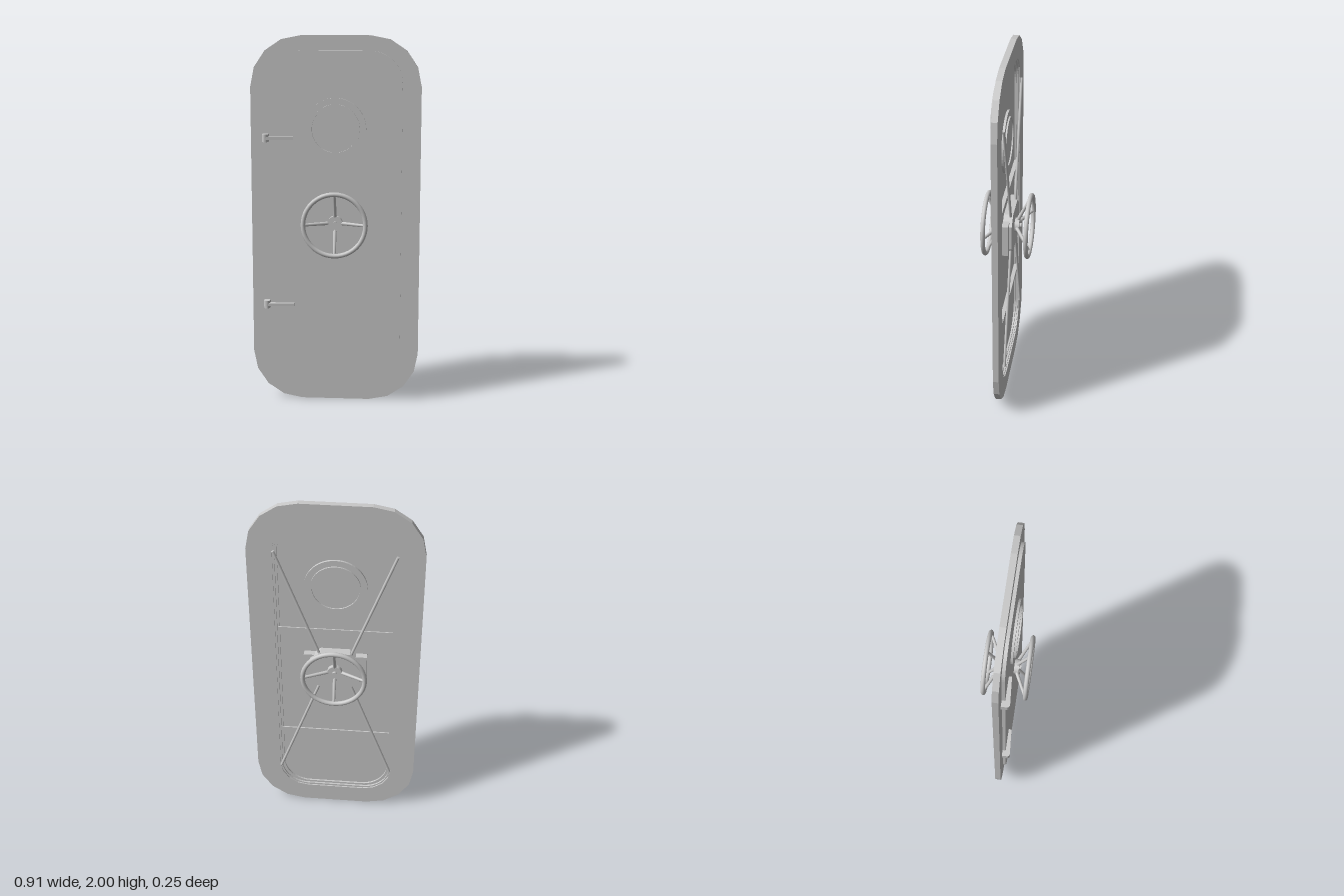
import * as THREE from 'three';

const steel = new THREE.MeshStandardMaterial({ color: 0xc9c9c9 });
steel.name = 'light steel grey';

const CY = 1.0; // mid height of the door

// Rounded rectangle outline, centred at the origin
function roundRect(target, hw, hh, r) {
  target.moveTo(hw, -hh + r);
  target.lineTo(hw, hh - r);
  target.absarc(hw - r, hh - r, r, 0, Math.PI / 2);
  target.lineTo(-hw + r, hh);
  target.absarc(-hw + r, hh - r, r, Math.PI / 2, Math.PI);
  target.lineTo(-hw, -hh + r);
  target.absarc(-hw + r, -hh + r, r, Math.PI, Math.PI * 1.5);
  target.lineTo(hw - r, -hh);
  target.absarc(hw - r, -hh + r, r, Math.PI * 1.5, Math.PI * 2);
  return target;
}

function add(parent, name, geometry, x = 0, y = 0, z = 0) {
  const mesh = new THREE.Mesh(geometry, steel);
  mesh.name = name;
  mesh.position.set(x, y, z);
  parent.add(mesh);
  return mesh;
}

// Plate between two depths
function plate(parent, name, shape, z0, z1, curveSegments, y = CY) {
  const geo = new THREE.ExtrudeGeometry(shape, { depth: z1 - z0, bevelEnabled: false, curveSegments });
  return add(parent, name, geo, 0, y, z0);
}

// Ring or disc lying flat against the door
function ring(parent, name, outer, inner, z0, z1, y) {
  const shape = new THREE.Shape().absarc(0, 0, outer, 0, Math.PI * 2);
  if (inner) shape.holes.push(new THREE.Path().absarc(0, 0, inner, 0, Math.PI * 2));
  return plate(parent, name, shape, z0, z1, 24, y);
}

// Round bar between two points
function rod(parent, name, a, b, r0, r1 = r0, sides = 10) {
  const dir = b.clone().sub(a);
  const mesh = add(parent, name, new THREE.CylinderGeometry(r1, r0, dir.length(), sides));
  mesh.position.copy(a).add(b).multiplyScalar(0.5);
  mesh.quaternion.setFromUnitVectors(new THREE.Vector3(0, 1, 0), dir.normalize());
  return mesh;
}

// Dished handwheel facing +z, with its four spokes, hub and shaft
function handwheel(name) {
  const g = new THREE.Group();
  g.name = name;
  add(g, 'wheelRim', new THREE.TorusGeometry(0.167, 0.0125, 12, 48), 0, 0, 0.114);
  ring(g, 'wheelHub', 0.04, 0, 0.03, 0.06, 0);
  ring(g, 'wheelShaft', 0.012, 0, 0.06, 0.071, 0);
  for (let i = 0; i < 4; i++) {
    const c = Math.cos(i * Math.PI / 2), s = Math.sin(i * Math.PI / 2);
    rod(g, 'wheelSpoke', new THREE.Vector3(c * 0.03, s * 0.03, 0.048),
      new THREE.Vector3(c * 0.162, s * 0.162, 0.111), 0.01, 0.008);
  }
  return g;
}

// Clamp on the frame edge: rounded block and tapered lever
function clamp(y) {
  const g = new THREE.Group();
  g.name = 'clamp';
  // Outlines are drawn in x and z, then laid flat; depth runs along y
  const extrudeY = (name, shape, h) => {
    const geo = new THREE.ExtrudeGeometry(shape, { depth: h, bevelEnabled: false, curveSegments: 8 });
    geo.translate(0, 0, -h / 2).rotateX(Math.PI / 2);
    return add(g, name, geo);
  };
  const block = new THREE.Shape();
  block.moveTo(-0.391, 0.015);
  block.lineTo(-0.358, 0.015);
  block.lineTo(-0.358, 0.045);
  block.absarc(-0.3745, 0.045, 0.0165, 0, Math.PI);
  extrudeY('clampBlock', block, 0.042);
  const lever = new THREE.Shape();
  lever.moveTo(-0.375, 0.034);
  lever.lineTo(-0.225, 0.034);
  lever.lineTo(-0.225, 0.05);
  lever.lineTo(-0.375, 0.061);
  extrudeY('clampLever', lever, 0.015);
  g.position.y = y;
  return g;
}

export function createModel() {
  const model = new THREE.Group();
  model.name = 'bulkheadDoor';

  // Heavy coaming with coarse corners, open in the middle
  const frame = roundRect(new THREE.Shape(), 0.455, 1, 0.27);
  frame.holes.push(roundRect(new THREE.Path(), 0.322, 0.89, 0.16));
  plate(model, 'frame', frame, -0.015, 0.017, 2);

  // Stepped seal inside the opening
  for (const [name, hw, hh, z] of [['outerSeal', 0.311, 0.879, -0.008], ['innerSeal', 0.299, 0.867, 0.002]]) {
    const seal = roundRect(new THREE.Shape(), 0.335, 0.903, 0.165);
    seal.holes.push(roundRect(new THREE.Path(), hw, hh, 0.148));
    plate(model, name, seal, z, 0.015, 6);
  }

  // Door leaf
  plate(model, 'doorLeaf', roundRect(new THREE.Shape(), 0.355, 0.917, 0.17), 0.012, 0.034, 6, 1.003);

  // Porthole flanges and rims on both faces
  const py = 1.51;
  ring(model, 'portholeFlange', 0.165, 0.12, 0.033, 0.046, py);
  ring(model, 'portholeRim', 0.132, 0.124, 0.046, 0.056, py);
  ring(model, 'portholePane', 0.126, 0, 0.033, 0.047, py);
  ring(model, 'portholeBackFlange', 0.165, 0.12, 0.0, 0.013, py);
  ring(model, 'portholeBackRim', 0.132, 0.124, -0.008, 0.0, py);
  ring(model, 'portholeBackPane', 0.126, 0, -0.001, 0.013, py);

  // Angle-section stiffeners across the back
  for (const y of [1.245, 0.543]) {
    add(model, 'stiffenerWeb', new THREE.BoxGeometry(0.61, 0.006, 0.026), 0, y - 0.008, 0.0);
    add(model, 'stiffenerFlange', new THREE.BoxGeometry(0.61, 0.022, 0.006), 0, y, -0.01);
  }

  // Locking rods running from the housing to the corners
  for (const sx of [-1, 1]) {
    for (const sy of [-1, 1]) {
      rod(model, 'lockingRod', new THREE.Vector3(sx * 0.08, CY + sy * 0.09, -0.025),
        new THREE.Vector3(sx * 0.315, CY + sy * 0.73, -0.025), 0.0075);
    }
  }

  // Gear housing: oblong base under an eight-sided cover
  add(model, 'housingBase', new THREE.BoxGeometry(0.34, 0.18, 0.036), 0, CY, -0.005);
  const cover = new THREE.Shape([
    [0.135, -0.07], [0.135, 0.07], [0.08, 0.115], [-0.08, 0.115],
    [-0.135, 0.07], [-0.135, -0.07], [-0.08, -0.115], [0.08, -0.115],
  ].map(([x, y]) => new THREE.Vector2(x, y)));
  plate(model, 'housingCover', cover, -0.038, 0.013, 1);

  // Handwheels on both faces
  const front = handwheel('frontHandwheel');
  front.position.y = CY + 0.003;
  const back = handwheel('backHandwheel');
  back.position.set(0, CY + 0.003, -0.002);
  back.rotation.y = Math.PI;
  model.add(front, back);

  // Clamps
  model.add(clamp(1.46), clamp(0.545));
  return model;
}
